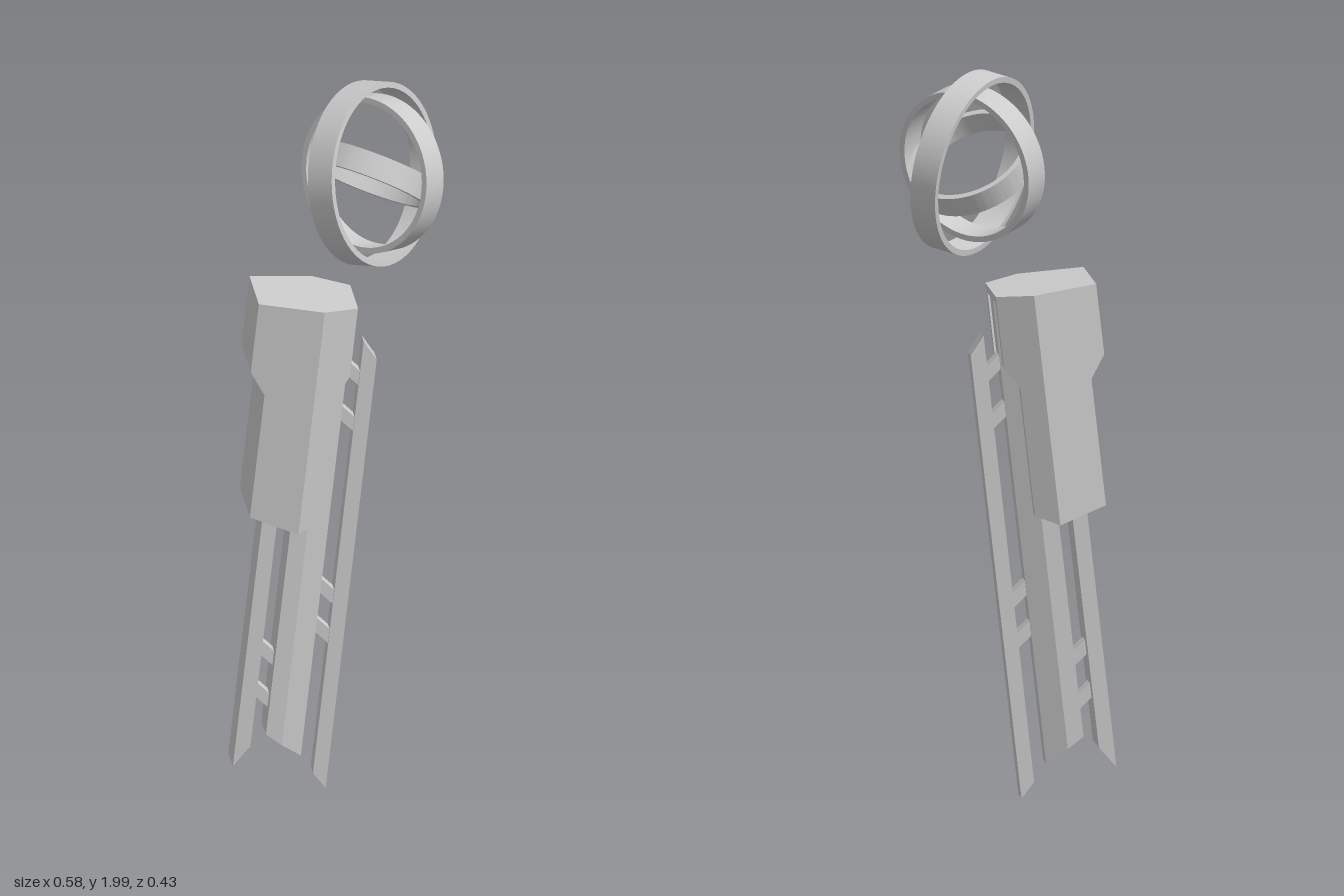
import * as THREE from 'three';
import { toCreasedNormals } from 'three/addons/utils/BufferGeometryUtils.js';

const material = new THREE.MeshStandardMaterial({ color: 0xcccccc });
const flatMaterial = new THREE.MeshStandardMaterial({ color: 0xcccccc, flatShading: true });

function add(parent, name, geometry, mat = flatMaterial) {
  const mesh = new THREE.Mesh(geometry, mat);
  mesh.name = name;
  parent.add(mesh);
  return mesh;
}

// Side outline in (x, y), extruded evenly about z = 0
function slab(points, halfDepth) {
  const shape = new THREE.Shape(points.map(([x, y]) => new THREE.Vector2(x, y)));
  return new THREE.ExtrudeGeometry(shape, { depth: halfDepth * 2, bevelEnabled: false })
    .translate(0, 0, -halfDepth);
}

// Loft through closed sections that mirror in z (point i pairs with n-1-i)
function loft(rings) {
  const out = [];
  const quad = (a, b, c, d) => out.push(...a, ...b, ...c, ...a, ...c, ...d);
  const n = rings[0].length;
  for (let r = 0; r + 1 < rings.length; r++) {
    const lo = rings[r], hi = rings[r + 1];
    for (let i = 0; i < n; i++) {
      const j = (i + 1) % n;
      quad(lo[j], lo[i], hi[i], hi[j]);
    }
  }
  const bottom = rings[0], top = rings[rings.length - 1];
  for (let i = 0; i < n / 2 - 1; i++) {
    quad(bottom[i], bottom[i + 1], bottom[n - 2 - i], bottom[n - 1 - i]);
    quad(top[n - 1 - i], top[n - 2 - i], top[i + 1], top[i]);
  }
  const geometry = new THREE.BufferGeometry();
  geometry.setAttribute('position', new THREE.Float32BufferAttribute(out, 3));
  geometry.computeVertexNormals();
  return geometry;
}

// Half section of [x, z] points, completed by its mirror image
const mirrored = (half) => [...half, ...half.slice().reverse().map(([x, z]) => [x, -z])];
const atHeight = (section, y) =>
  section.map(([x, z]) => [x, typeof y === 'function' ? y(x) : y, z]);

// Outer wall of the housing between a back and a front edge
const SIDE = -0.213;
const wallZ = (x) => (x < SIDE ? 0.14 + (x - SIDE) * 0.1875 : 0.14 - (x - SIDE) * 0.52);
const outerHalf = (back, front) => [[front, wallZ(front)], [SIDE, 0.14], [back, wallZ(back)]];

// C-shaped section, open towards +x
function housingSection(back, front) {
  const t = 0.025;
  const outer = mirrored(outerHalf(back, front));
  const inner = mirrored([[front, wallZ(front) - t], [SIDE, 0.14 - t], [back + t, wallZ(back) - t]]);
  return [...outer, ...inner.reverse()];
}

// Flat band ring with its axis along the given direction
function band(parent, name, radius, width, axis) {
  const shape = new THREE.Shape().absarc(0, 0, radius, 0, Math.PI * 2, false);
  shape.holes.push(new THREE.Path().absarc(0, 0, radius - 0.016, 0, Math.PI * 2, true));
  const geometry = new THREE.ExtrudeGeometry(shape, { depth: width, bevelEnabled: false, curveSegments: 64 })
    .translate(0, 0, -width / 2);
  const mesh = add(parent, name, toCreasedNormals(geometry, 0.6), material);
  mesh.quaternion.setFromUnitVectors(new THREE.Vector3(0, 0, 1), new THREE.Vector3(...axis).normalize());
}

export function createModel() {
  const model = new THREE.Group();

  // Leaning shaft
  const shaft = new THREE.Group();
  shaft.name = 'shaft';
  shaft.rotation.z = -0.1125;
  model.add(shaft);

  // Chamfered core with a slanted foot
  const core = mirrored([[-0.117, 0.025], [-0.176, 0.052], [-0.222, 0.052]]);
  add(shaft, 'core', loft([
    atHeight(core, (x) => 0.153 - 0.6 * (x + 0.222)),
    atHeight(core, 1.372),
  ]));

  // Rails on both sides of the core
  add(shaft, 'frontRail', slab([[-0.079, 0.042], [-0.04, 0.003], [-0.04, 1.23], [-0.081, 1.279]], 0.026));
  add(shaft, 'backRail', slab([[-0.301, 0.057], [-0.26, 0.117], [-0.26, 1.3], [-0.301, 1.3]], 0.052));

  // Slanted struts joining the rails to the core
  const strut = (name, x0, x1, y) => add(shaft, name, slab([
    [x0, y], [x1, y - 0.04], [x1, y], [x0, y + 0.04],
  ], 0.02));
  for (const y of [1.186, 1.055, 0.56, 0.448]) strut('frontStrut', -0.125, -0.073, y);
  for (const y of [0.375, 0.255]) strut('backStrut', -0.268, -0.215, y);

  // Housing shell: wide head, narrower skirt with a pointed lower edge
  const head = housingSection(-0.388, -0.117);
  const skirt = housingSection(-0.345, -0.152);
  const skirtEdge = (x) => 0.759 + (x < SIDE ? (SIDE - x) * 0.235 : (x - SIDE) * 0.46);
  add(shaft, 'housing', loft([
    atHeight(skirt, skirtEdge),
    atHeight(skirt, 1.14),
    atHeight(head, 1.2),
    atHeight(head, 1.372),
  ]));

  // Plate closing the housing
  const plate = mirrored(outerHalf(-0.388, -0.117));
  add(shaft, 'topPlate', loft([atHeight(plate, 1.372), atHeight(plate, 1.395)]));

  // Floating nested rings
  const rings = new THREE.Group();
  rings.name = 'rings';
  rings.position.set(0.09, 1.75, 0);
  model.add(rings);
  band(rings, 'outerRing', 0.248, 0.078, [0.75, 0.15, 0.64]);
  band(rings, 'middleRing', 0.212, 0.075, [0.7, -0.15, -0.7]);
  band(rings, 'innerRing', 0.17, 0.065, [0.4, 0.82, -0.4]);

  return model;
}
